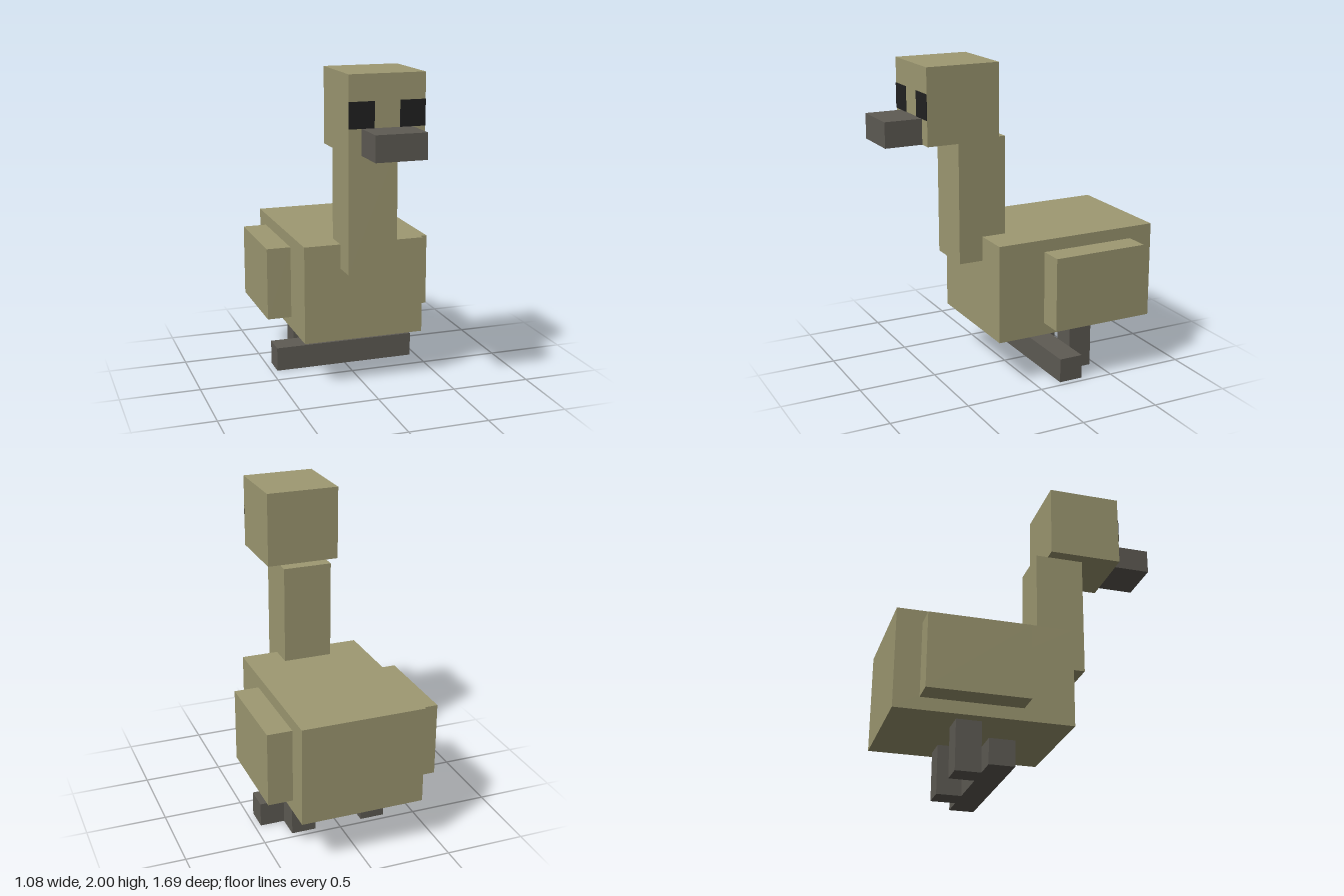
import * as THREE from 'three';

// One block unit: the bird is 26 units tall
const U = 1 / 13;

const material = (name, color) => {
  const m = new THREE.MeshStandardMaterial({ color });
  m.name = name;
  return m;
};

export function createModel() {
  const plumage = material('olive plumage', 0x9e9972);
  const horn = material('grey beak and legs', 0x5e5b54);
  const black = material('eye black', 0x212121);

  const model = new THREE.Group();
  model.name = 'blockBird';

  // Adds a box given its lower and upper corners in block units
  const box = (name, mat, [x0, y0, z0], [x1, y1, z1]) => {
    const geometry = new THREE.BoxGeometry((x1 - x0) * U, (y1 - y0) * U, (z1 - z0) * U);
    const mesh = new THREE.Mesh(geometry, mat);
    mesh.position.set((x0 + x1) / 2, (y0 + y1) / 2, (z0 + z1) / 2).multiplyScalar(U);
    mesh.name = name;
    model.add(mesh);
  };

  // Adds a box on the left (+x) and its mirror on the right
  const pair = (name, mat, [x0, y0, z0], [x1, y1, z1]) => {
    box('left' + name, mat, [x0, y0, z0], [x1, y1, z1]);
    box('right' + name, mat, [-x1, y0, z0], [-x0, y1, z1]);
  };

  // Trunk, neck and head
  box('body', plumage, [-5, 4, -11], [5, 12, 3]);
  box('neck', plumage, [-2, 10, 1], [2, 20, 5]);
  box('head', plumage, [-3, 20, 2], [3, 26, 8]);
  box('beak', horn, [-2, 20, 8], [2, 22, 11]);

  // Eyes: thin plates on the face
  pair('Eye', black, [1, 22, 7.98], [3, 24, 8.04]);

  // Wings and legs
  pair('Wing', plumage, [5, 5, -9], [7, 11, -1]);
  pair('Leg', horn, [2, 0, -6], [4, 4, -4]);

  // Feet meet in one bar in front of the legs
  pair('Foot', horn, [0, 0, -4], [6, 2, -2]);

  return model;
}
